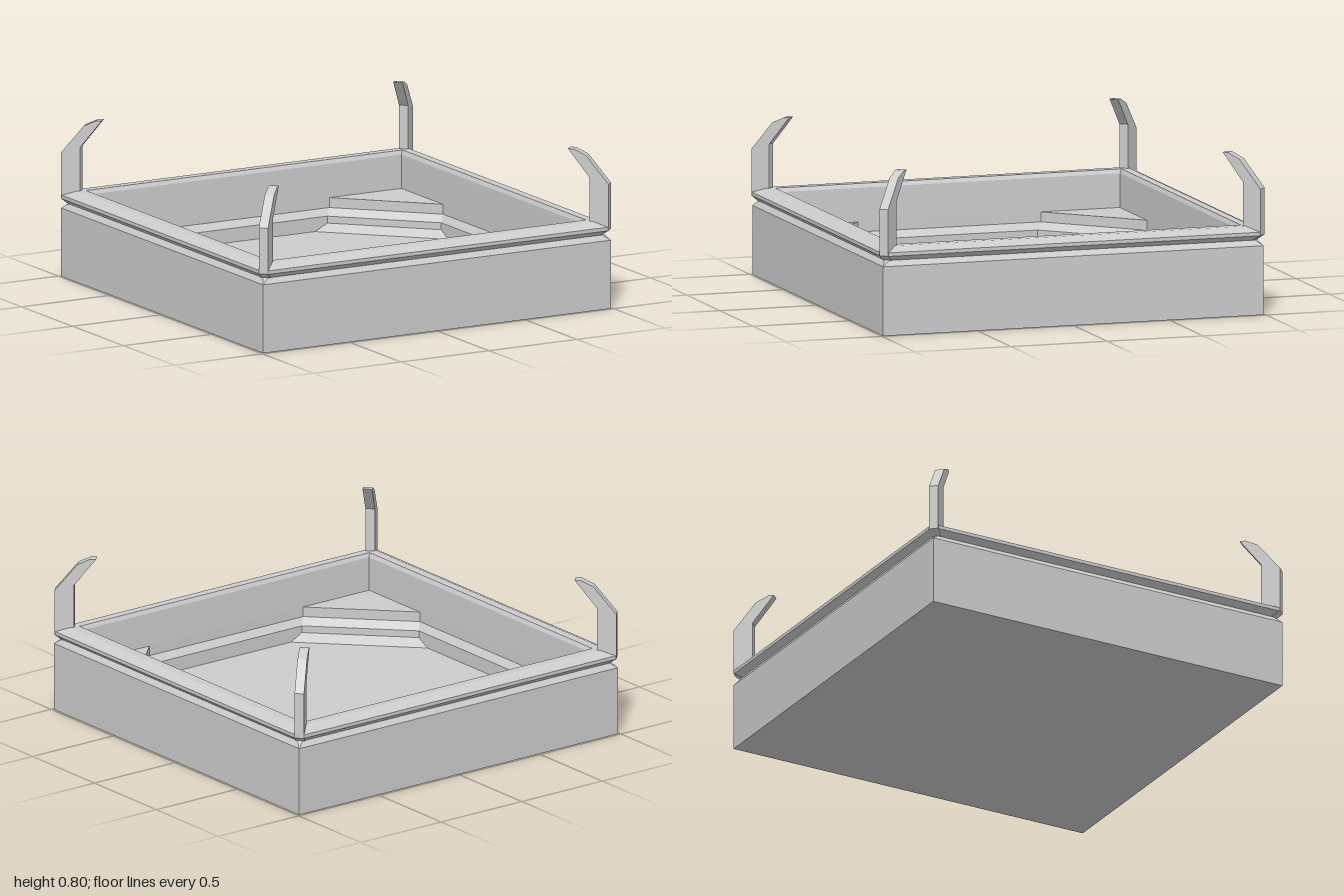
import * as THREE from 'three';

const material = new THREE.MeshStandardMaterial({ color: 0xcccccc, flatShading: true });

// Square loop of half-width r whose corners are cut by c, at height y
function loop([r, c, y]) {
  const k = r - c;
  return [[r, k], [k, r], [-k, r], [-r, k], [-r, -k], [-k, -r], [k, -r], [r, -k]]
    .map(([x, z]) => new THREE.Vector3(x, y, z));
}

// Flat-shaded skin through a series of cut-corner square loops
function loft(name, sections) {
  const loops = sections.map(loop);
  const pos = [];
  const tri = (a, b, c) => {
    const area = b.clone().sub(a).cross(c.clone().sub(a)).length();
    if (area > 1e-7) for (const p of [a, b, c]) pos.push(p.x, p.y, p.z);
  };
  for (let i = 0; i < loops.length - 1; i++) {
    for (let j = 0; j < 8; j++) {
      const n = (j + 1) % 8;
      const a = loops[i][j], b = loops[i][n], c = loops[i + 1][j], d = loops[i + 1][n];
      tri(a, c, b);
      tri(b, c, d);
    }
  }
  const geometry = new THREE.BufferGeometry();
  geometry.setAttribute('position', new THREE.Float32BufferAttribute(pos, 3));
  geometry.computeVertexNormals();
  const mesh = new THREE.Mesh(geometry, material);
  mesh.name = name;
  return mesh;
}

export function createModel() {
  const group = new THREE.Group();
  group.name = 'trayPlatform';

  // Outer box with a closed bottom and bevelled top edge
  group.add(loft('base', [[0, 0, 0], [0.99, 0, 0], [0.99, 0, 0.345], [0.968, 0.02, 0.375]]));

  // Overhanging bevelled rim
  group.add(loft('rim', [
    [0.968, 0.02, 0.37], [1, 0.03, 0.397], [1, 0.03, 0.415],
    [0.945, 0.01, 0.44], [0.9, 0, 0.44], [0.89, 0, 0.42],
  ]));

  // Inner walls, corner shelves, stepped octagonal border and floor
  group.add(loft('recess', [
    [0.89, 0, 0.42], [0.887, 0, 0.25], [0.887, 0.41, 0.25], [0.887, 0.41, 0.2],
    [0.86, 0.41, 0.165], [0.86, 0.41, 0.13], [0.86, 0.48, 0.095], [0, 0, 0.095],
  ]));

  // Four diagonal corner posts with tips bent inward
  const profile = [
    [0.957, 0.37], [0.986, 0.398], [0.986, 0.63], [0.905, 0.77],
    [0.86, 0.8], [0.84, 0.8], [0.9175, 0.66], [0.9175, 0.4],
  ];
  const shape = new THREE.Shape(profile.map(([d, y]) => new THREE.Vector2(d * Math.SQRT2, y)));
  const width = 0.047;
  const postGeometry = new THREE.ExtrudeGeometry(shape, { depth: width, bevelEnabled: false });
  postGeometry.translate(0, 0, -width / 2);
  ['backLeftPost', 'backRightPost', 'frontRightPost', 'frontLeftPost'].forEach((name, i) => {
    const post = new THREE.Mesh(postGeometry, material);
    post.name = name;
    post.rotation.y = Math.PI / 4 + i * Math.PI / 2;
    group.add(post);
  });

  return group;
}
